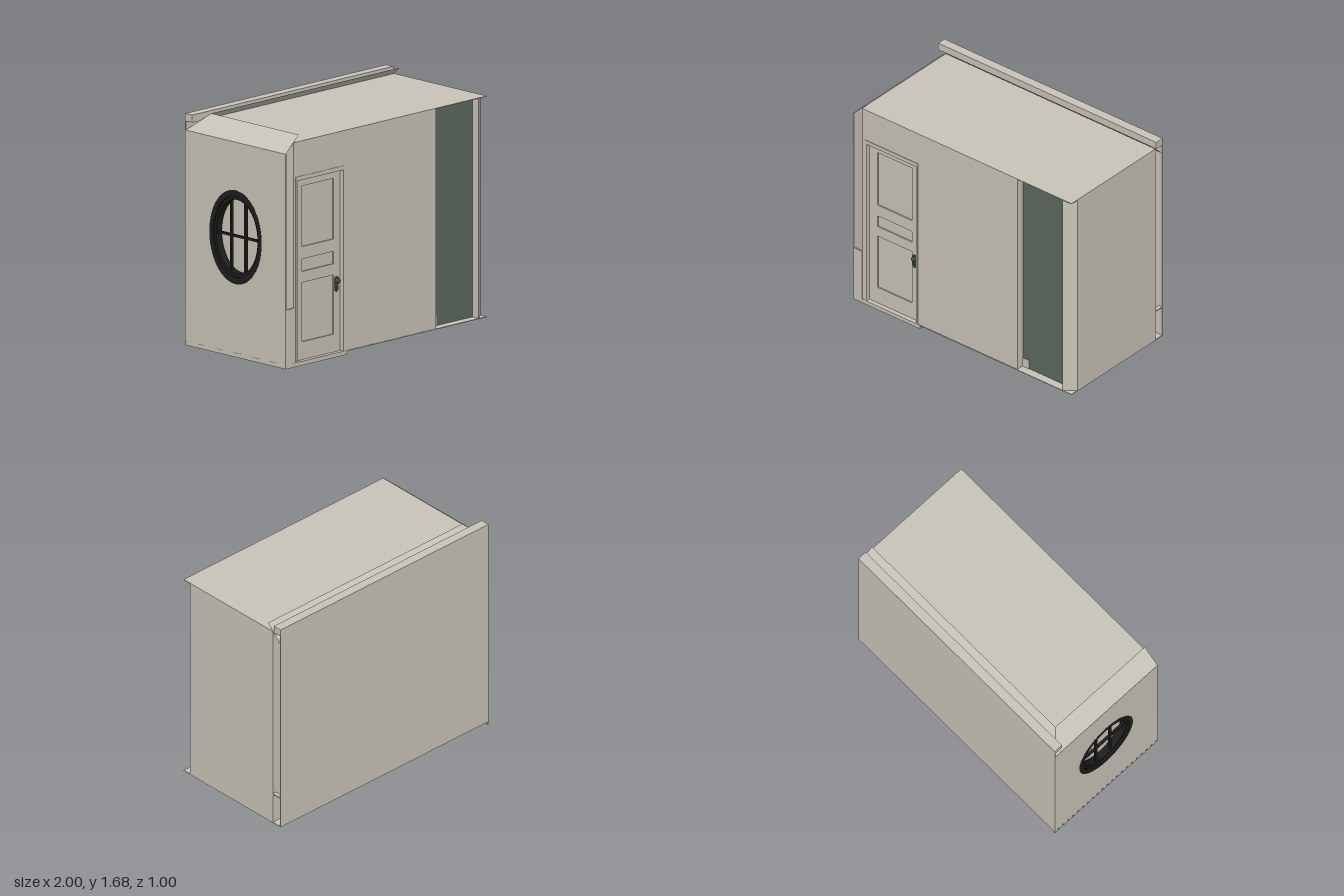
import * as THREE from 'three';

export function createModel() {
  const model = new THREE.Group();
  const mat = (name, color, side = THREE.FrontSide) => {
    const m = new THREE.MeshStandardMaterial({ color, side });
    m.name = name;
    return m;
  };
  const beige = mat('beige paint', 0xc9c4b8, THREE.DoubleSide);
  const teal = mat('grey green panel', 0x5c685f);
  const black = mat('black window frame', 0x1e1e1e);
  const metal = mat('dark green metal', 0x3c4b44);

  const add = (name, geometry, material) => {
    const mesh = new THREE.Mesh(geometry, material);
    mesh.name = name;
    model.add(mesh);
    return mesh;
  };
  // box given by its limits on each axis
  const box = (name, material, x0, x1, y0, y1, z0, z1) => {
    const m = add(name, new THREE.BoxGeometry(x1 - x0, y1 - y0, z1 - z0), material);
    m.position.set((x0 + x1) / 2, (y0 + y1) / 2, (z0 + z1) / 2);
    return m;
  };
  const quad = (name, material, a, b, c, d) => {
    const g = new THREE.BufferGeometry();
    g.setAttribute('position', new THREE.Float32BufferAttribute([...a, ...b, ...c, ...a, ...c, ...d], 3));
    g.computeVertexNormals();
    return add(name, g, material);
  };
  const rectangle = (Type, x0, x1, y0, y1) => new Type().setFromPoints(
    [[x0, y0], [x1, y0], [x1, y1], [x0, y1]].map(p => new THREE.Vector2(...p)));

  // Main block: floor plan with door recess, panel niche and chamfered corner
  const F = 0.496;
  const plan = [
    [-0.92, -0.42], [1, -0.42], [1, 0.435], [0.92, 0.5], [0.92, 0.43], [0.5, 0.43], [0.5, F],
    [-0.425, F], [-0.425, 0.455], [-0.88, 0.455], [-0.88, F], [-0.92, F],
  ].map(([x, z]) => new THREE.Vector2(x, -z));
  const block = new THREE.ExtrudeGeometry(new THREE.Shape(plan), { depth: 1.595, bevelEnabled: false });
  block.rotateX(-Math.PI / 2);
  add('roomBlock', block, beige).position.y = 0.03;
  box('doorLintel', beige, -0.88, -0.425, 1.345, 1.625, 0.45, F);
  box('ceilingSlab', beige, -0.92, 1, 1.625, 1.63, -0.42, 0.5);
  box('floorSlab', beige, -1, 1, 0.025, 0.03, -0.5, 0.5);

  // Niche panel and its small corner block
  box('nichePanel', teal, 0.5, 0.92, 0.03, 1.625, 0.43, 0.436);
  box('nicheCornerBlock', beige, 0.5, 0.56, 0.03, 0.1, 0.43, 0.44);

  // Door casing
  box('casingLeft', beige, -0.897, -0.88, 0.03, 1.375, F - 0.01, 0.5);
  box('casingRight', beige, -0.425, -0.41, 0.03, 1.375, F - 0.01, 0.5);
  box('casingTop', beige, -0.88, -0.425, 1.345, 1.375, F - 0.01, 0.5);
  box('threshold', beige, -0.92, -0.39, 0, 0.025, 0.42, 0.5);

  // Door leaf with three sunken panels
  const leaf = rectangle(THREE.Shape, -0.878, -0.427, 0.03, 1.343);
  for (const [y0, y1] of [[0.16, 0.59], [0.67, 0.76], [0.85, 1.29]])
    leaf.holes.push(rectangle(THREE.Path, -0.805, -0.49, y0, y1));
  add('doorLeaf', new THREE.ExtrudeGeometry(leaf, { depth: 0.01, bevelEnabled: false }), beige).position.z = 0.457;

  // Handle: rounded plate, knob and lock
  const plate = add('handlePlate', new THREE.CapsuleGeometry(0.02, 0.07, 6, 20), metal);
  plate.scale.z = 0.35;
  plate.position.set(-0.463, 0.52, 0.468);
  const knob = add('doorKnob', new THREE.SphereGeometry(0.02, 20, 14), metal);
  knob.position.set(-0.463, 0.545, 0.479);
  const lock = add('lock', new THREE.CylinderGeometry(0.011, 0.011, 0.02, 16), metal);
  lock.rotation.x = Math.PI / 2;
  lock.position.set(-0.463, 0.495, 0.47);

  // Outer back wall and top rail
  box('backWall', beige, -1, 1, 0.025, 1.68, -0.5, -0.494);
  box('backRail', beige, -1, 1, 1.625, 1.68, -0.494, -0.43);
  box('backLedge', beige, 0.97, 1, 0.262, 0.27, -0.494, -0.42);

  // Sloping eaves, mitred at the back corner
  quad('sideEave', beige, [-1, 1.56, 0.5], [-0.87, 1.68, 0.5], [-0.87, 1.68, -0.37], [-1, 1.56, -0.495]);
  quad('backEave', beige, [1, 1.56, -0.493], [-1, 1.56, -0.493], [-0.87, 1.68, -0.37], [1, 1.68, -0.37]);

  // Outer side wall with an oval opening
  const WY = 0.87, RZ = 0.26, RY = 0.34;
  const wall = rectangle(THREE.Shape, -0.5, 0.5, 0, 1.56);
  wall.holes.push(new THREE.Path().absellipse(0, WY, RZ - 0.01, RY - 0.01, 0, Math.PI * 2));
  const wallGeo = new THREE.ExtrudeGeometry(wall, { depth: 0.006, bevelEnabled: false, curveSegments: 40 });
  wallGeo.rotateY(-Math.PI / 2);
  add('sideWall', wallGeo, beige).position.x = -0.993;
  box('gapFront', beige, -0.994, -0.92, 0, 0.43, 0.49, 0.5);

  // Window: two stepped oval rings and glazing bars
  const ring = (name, outer, inner, x0, x1) => {
    const s = new THREE.Shape().absellipse(0, 0, RZ * outer, RY * outer, 0, Math.PI * 2);
    s.holes.push(new THREE.Path().absellipse(0, 0, RZ * inner, RY * inner, 0, Math.PI * 2));
    const g = new THREE.ExtrudeGeometry(s, { depth: x1 - x0, bevelEnabled: false, curveSegments: 40 });
    g.rotateY(-Math.PI / 2);
    add(name, g, black).position.set(x1, WY, 0);
  };
  ring('windowOuterRing', 1, 0.86, -1, -0.925);
  ring('windowInnerRing', 0.87, 0.79, -0.985, -0.93);
  for (const z of [-0.07, 0.07])
    box('windowUpright', black, -0.975, -0.955, WY - 0.26, WY + 0.26, z - 0.008, z + 0.008);
  box('windowCrossbar', black, -0.975, -0.955, WY - 0.008, WY + 0.008, -0.21, 0.21);

  return model;
}
